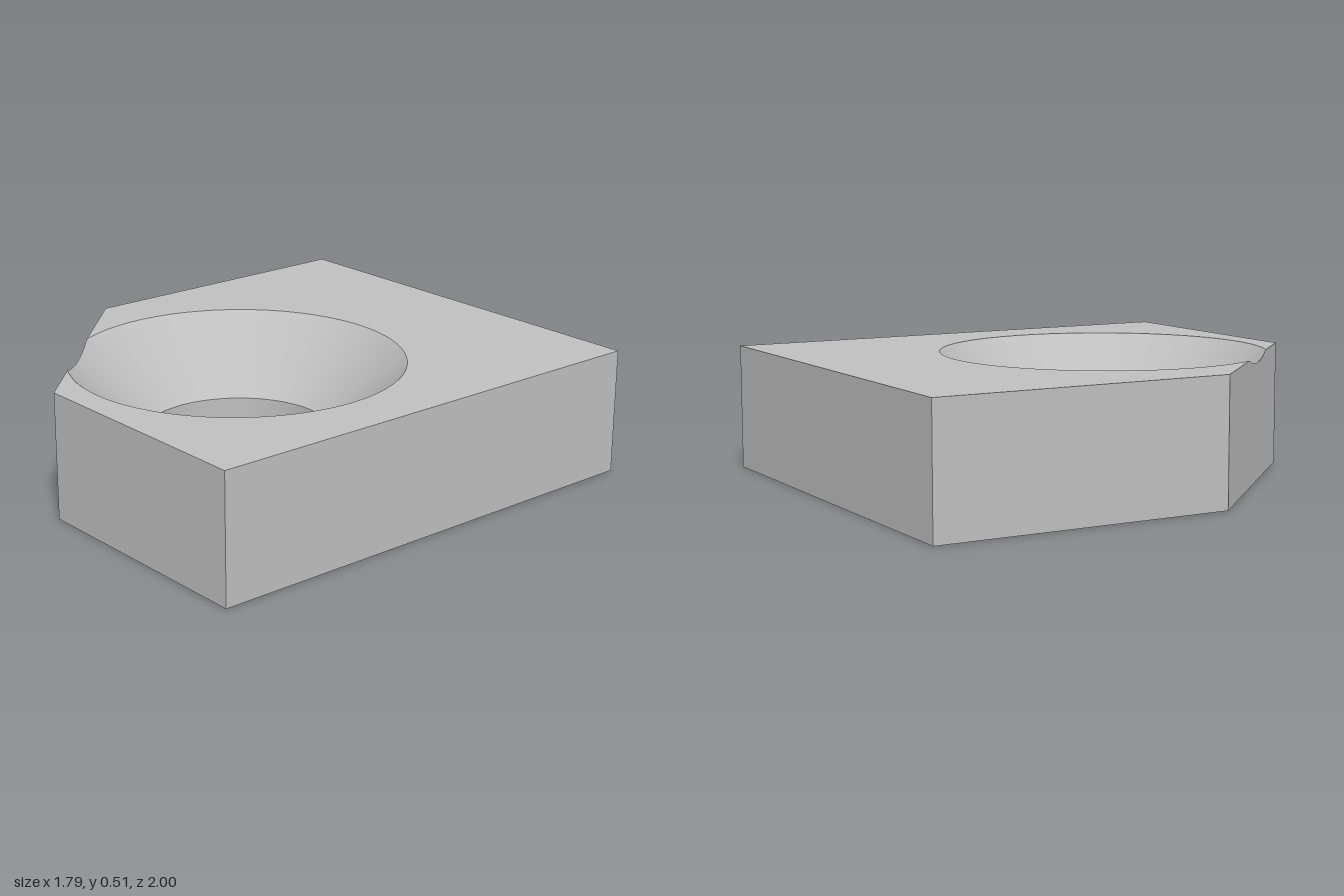
import * as THREE from 'three';
import { toCreasedNormals } from 'three/addons/utils/BufferGeometryUtils.js';

const HEIGHT = 0.512, HALF_W = 0.895, HOLE_Z = 0.225;
const HOLE_R = 0.372, SINK_R = 0.667, THROAT_Y = HEIGHT - (SINK_R - HOLE_R);

// plate outline (x, z), with one clipped corner
const outline = [
  [HALF_W, -1], [HALF_W, 1], [-0.13, 1], [-HALF_W, HOLE_Z], [-HALF_W, -1],
].map(([x, z]) => new THREE.Vector2(x, z - HOLE_Z));

// each side as an outward direction and its distance from the hole axis
const sides = outline.map((a, i) => {
  const d = outline[(i + 1) % outline.length].clone().sub(a).normalize();
  const n = new THREE.Vector2(d.y, -d.x);
  return { n, dist: n.dot(a) };
});

// distance from the hole axis to the outline at an angle
function reach(angle) {
  const dir = new THREE.Vector2(Math.cos(angle), Math.sin(angle));
  return Math.min(...sides.map(({ n, dist }) => {
    const k = n.dot(dir);
    return k > 1e-6 ? dist / k : Infinity;
  }));
}

// even steps round the hole, plus the corners and the ends of the countersink notch
function sectionAngles() {
  const angles = [];
  for (let i = 0; i < 96; i++) angles.push((i / 96) * Math.PI * 2);
  outline.forEach((p) => angles.push(p.angle()));
  const clip = sides[2], spread = Math.acos(clip.dist / SINK_R);
  angles.push(clip.n.angle() - spread, clip.n.angle() + spread);
  angles.sort((a, b) => a - b);
  return angles.filter((a, i) => i === 0 || a - angles[i - 1] > 1e-5);
}

// radial cross-section: underside, side wall, top, countersink, bore
function section(angle) {
  const outer = reach(angle), rim = Math.min(outer, SINK_R);
  const rimY = THROAT_Y + rim - HOLE_R;
  const c = Math.cos(angle), s = Math.sin(angle);
  return [[HOLE_R, 0], [outer, 0], [outer, rimY], [rim, rimY], [HOLE_R, THROAT_Y]]
    .map(([r, y]) => new THREE.Vector3(r * c, y, HOLE_Z + r * s));
}

function plateGeometry() {
  const rings = sectionAngles().map(section);
  const points = [];
  const addTriangle = (a, b, c) => {
    const area = b.clone().sub(a).cross(c.clone().sub(a)).length();
    if (area > 1e-9) points.push(a, b, c);
  };
  rings.forEach((p, i) => {
    const q = rings[(i + 1) % rings.length];
    for (let j = 0; j < p.length; j++) {
      const k = (j + 1) % p.length;
      addTriangle(p[j], p[k], q[k]);
      addTriangle(p[j], q[k], q[j]);
    }
  });
  return toCreasedNormals(new THREE.BufferGeometry().setFromPoints(points), 0.4);
}

export function createModel() {
  const model = new THREE.Group();
  model.name = 'countersunkPlate';
  const grey = new THREE.MeshStandardMaterial({ color: 0xbfbfbf });
  grey.name = 'grey';
  const plate = new THREE.Mesh(plateGeometry(), grey);
  plate.name = 'plate';
  model.add(plate);
  return model;
}
